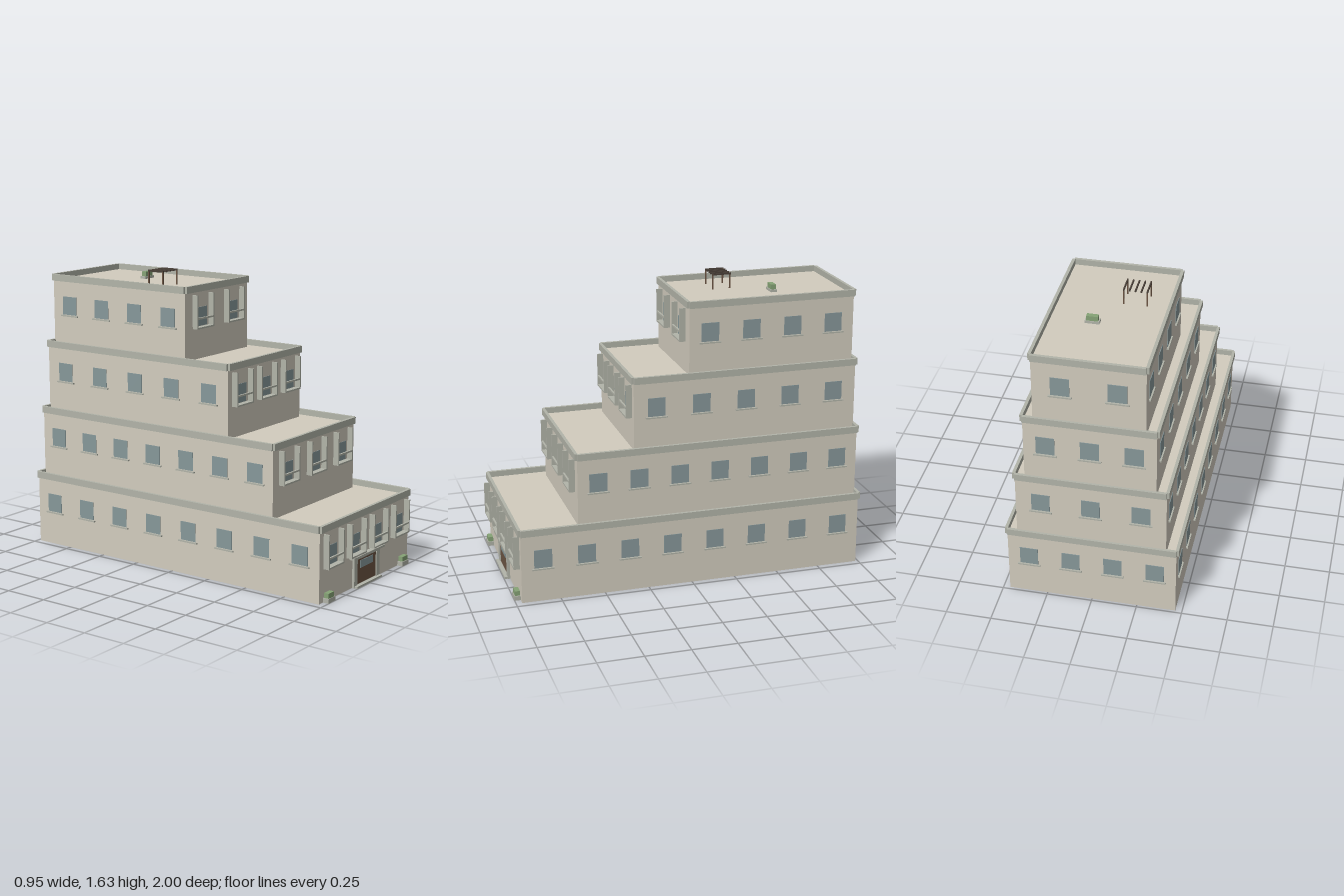
import * as THREE from 'three';

const mat = (color) => new THREE.MeshStandardMaterial({ color });
const WALL = mat(0xd2ccbe), TRIM = mat(0xb2b4a9), GLASS = mat(0x87989a),
  WOOD = mat(0x6b5443), LEAF = mat(0x86a376), METAL = mat(0x4a4038);

const BACK = -0.985;

// Box given by its min and max on each axis
function box(parent, name, material, [x0, x1], [y0, y1], [z0, z1]) {
  const mesh = new THREE.Mesh(new THREE.BoxGeometry(x1 - x0, y1 - y0, z1 - z0), material);
  mesh.position.set((x0 + x1) / 2, (y0 + y1) / 2, (z0 + z1) / 2);
  mesh.name = name;
  parent.add(mesh);
  return mesh;
}

function group(parent, name, x = 0, y = 0, z = 0, turn = 0) {
  const g = new THREE.Group();
  g.name = name;
  g.position.set(x, y, z);
  g.rotation.y = turn;
  parent.add(g);
  return g;
}

// Pane with a sill; local +z points out of the wall, y = 0 is the sill top
function addWindow(parent, x, y, z, turn) {
  const g = group(parent, 'window', x, y, z, turn);
  box(g, 'pane', GLASS, [-0.05, 0.05], [0.002, 0.107], [-0.004, 0.003]);
  box(g, 'sill', TRIM, [-0.062, 0.062], [-0.008, 0], [-0.004, 0.011]);
}

// Front window framed by two fins, a ledge and a rail
function addBay(parent, x, y, z) {
  const g = group(parent, 'balconyBay', x, y, z);
  box(g, 'pane', GLASS, [-0.05, 0.05], [0.002, 0.107], [-0.004, 0.003]);
  box(g, 'ledge', TRIM, [-0.078, 0.078], [-0.009, 0], [-0.004, 0.034]);
  box(g, 'rail', TRIM, [-0.07, 0.07], [0.044, 0.054], [0.024, 0.034]);
  for (const s of [-1, 1]) {
    const fin = box(g, 'fin', TRIM, [-0.0045, 0.0045], [-0.009, 0.18], [-0.004, 0.034]);
    fin.position.x = s * 0.0735;
  }
}

function addPlanter(parent, x, y, z, width) {
  const g = group(parent, 'planter', x, y, z);
  const w = width / 2;
  box(g, 'planterBox', TRIM, [-w, w], [0, 0.025], [-0.018, 0.018]);
  box(g, 'shrub', LEAF, [-w * 0.8, w * 0.8], [0.025, 0.052], [-0.014, 0.014]);
}

// One storey: walls, parapet, and windows on every side
function addTier(parent, { w, front, y0, top, sill, across, along }) {
  const tier = group(parent, 'tier');
  const deck = top - 0.033, over = 0.013, inner = 0.004;
  box(tier, 'walls', WALL, [-w, w], [y0, deck], [BACK, front]);

  // Parapet of four strips around the deck
  const py = [top - 0.038, top];
  for (const s of [-1, 1]) {
    const side = box(tier, 'parapet', TRIM, [-0.0085, 0.0085], py, [BACK, front]);
    side.position.x = s * (w + (over - inner) / 2);
  }
  box(tier, 'parapet', TRIM, [-w, w], py, [front - inner, front + over]);
  box(tier, 'parapet', TRIM, [-w, w], py, [BACK - over, BACK + inner]);

  for (let i = 0; i < across; i++) {
    const x = -w + (2 * w * (i + 0.5)) / across;
    addBay(tier, x, sill, front);
    addWindow(tier, x, sill, BACK, Math.PI);
  }
  for (let i = 0; i < along; i++) {
    const z = BACK + ((front - BACK) * (i + 0.5)) / along;
    addWindow(tier, w, sill, z, Math.PI / 2);
    addWindow(tier, -w, sill, z, -Math.PI / 2);
  }
}

function addEntrance(parent, z) {
  const g = group(parent, 'entrance', 0, 0, z);
  for (const s of [-1, 1]) {
    const jamb = box(g, 'jamb', TRIM, [-0.0165, 0.0165], [0, 0.166], [-0.004, 0.014]);
    jamb.position.x = s * 0.1165;
  }
  box(g, 'lintel', TRIM, [-0.1, 0.1], [0.153, 0.166], [-0.004, 0.014]);
  box(g, 'door', WOOD, [-0.1, 0.1], [0.01, 0.153], [-0.004, 0.008]);
  box(g, 'doorPane', GLASS, [-0.065, 0.065], [0.098, 0.14], [0, 0.011]);
  box(g, 'canopy', TRIM, [-0.163, 0.163], [0.166, 0.178], [-0.004, 0.03]);
  box(g, 'step', TRIM, [-0.13, 0.13], [0, 0.011], [-0.004, 0.032]);
}

// Posts at the corners with slats running front to back
function addPergola(parent, deck) {
  const g = group(parent, 'pergola', -0.113, deck, -0.325);
  const t = 0.0035;
  for (const x of [-0.063, 0.063])
    for (const z of [-0.05, 0.05])
      box(g, 'post', WOOD, [x - t, x + t], [0, 0.09], [z - t, z + t]);
  for (let i = 0; i < 5; i++) {
    const x = -0.063 + i * 0.0315;
    box(g, 'slat', METAL, [x - t, x + t], [0.082, 0.092], [-0.055, 0.055]);
  }
}

export function createModel() {
  const model = new THREE.Group();
  model.name = 'steppedBuilding';

  const tiers = [
    { w: 0.463, front: 0.966, y0: 0, top: 0.424, sill: 0.193, across: 4, along: 8 },
    { w: 0.407, front: 0.633, y0: 0.385, top: 0.805, sill: 0.575, across: 3, along: 7 },
    { w: 0.352, front: 0.3, y0: 0.766, top: 1.187, sill: 0.955, across: 3, along: 5 },
    { w: 0.296, front: -0.03, y0: 1.148, top: 1.569, sill: 1.336, across: 2, along: 4 },
  ];
  tiers.forEach((t) => addTier(model, t));

  addEntrance(model, 0.966);
  for (const s of [-1, 1]) addPlanter(model, s * 0.39, 0, 0.982, 0.068);

  // Roof garden
  addPergola(model, 1.534);
  addPlanter(model, 0.069, 1.525, -0.583, 0.078);
  return model;
}
